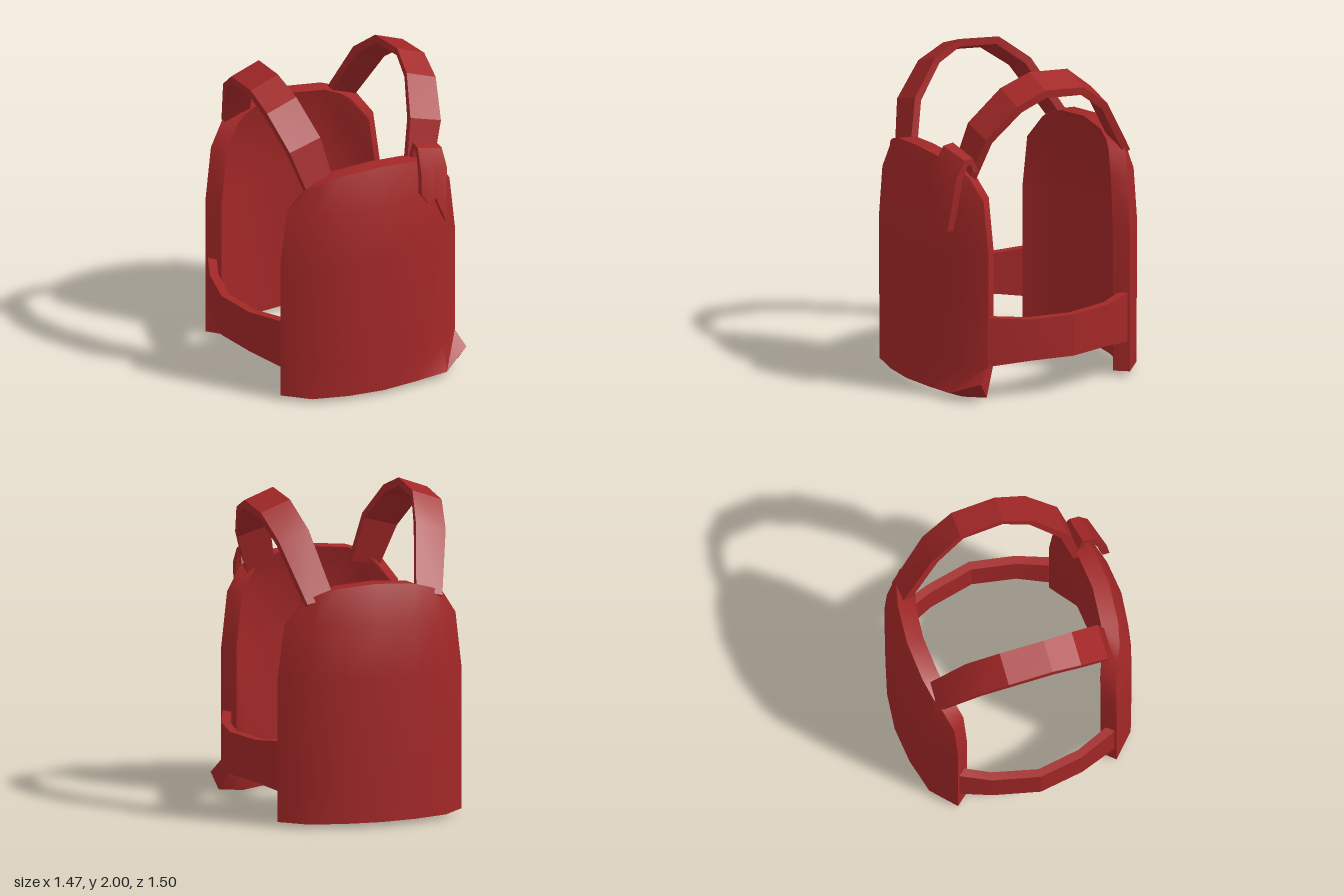
import * as THREE from 'three';
import { toCreasedNormals } from 'three/addons/utils/BufferGeometryUtils.js';

const red = new THREE.MeshStandardMaterial({ color: 0xa32727 });
red.name = 'red';

// Closed slab between two grids of points (rows x columns), wound outwards
function slab(outer, inner, crease = 0.75) {
  const pos = [];
  const quad = (a, b, c, d) => pos.push(a, b, c, a, c, d);
  const R = outer.length - 1, C = outer[0].length - 1;
  for (let r = 0; r < R; r++) {
    for (let c = 0; c < C; c++) {
      quad(outer[r][c], outer[r][c + 1], outer[r + 1][c + 1], outer[r + 1][c]);
      quad(inner[r][c], inner[r + 1][c], inner[r + 1][c + 1], inner[r][c + 1]);
    }
    quad(outer[r][0], outer[r + 1][0], inner[r + 1][0], inner[r][0]);
    quad(outer[r + 1][C], outer[r][C], inner[r][C], inner[r + 1][C]);
  }
  for (let c = 0; c < C; c++) {
    quad(outer[0][c + 1], outer[0][c], inner[0][c], inner[0][c + 1]);
    quad(outer[R][c], outer[R][c + 1], inner[R][c + 1], inner[R][c]);
  }
  // Flip the winding if the signed volume is negative
  let volume = 0;
  for (let i = 0; i < pos.length; i += 3) {
    volume += pos[i].dot(pos[i + 1].clone().cross(pos[i + 2]));
  }
  if (volume < 0) {
    for (let i = 0; i < pos.length; i += 3) [pos[i], pos[i + 1]] = [pos[i + 1], pos[i]];
  }
  return toCreasedNormals(new THREE.BufferGeometry().setFromPoints(pos), crease);
}

const V = (x, y, z) => new THREE.Vector3(x, y, z);

// Curved chest or back plate, domed at the top; one lower corner may be bent out
function plate(bentCorner) {
  const xs = [0, 0.23, 0.45, 0.6], zs = [0.75, 0.72, 0.655, 0.51];
  const inX = [0, 0.02, 0.05, 0.07], inZ = [0.105, 0.105, 0.095, 0.08];
  const rows = [[0.03, 1, -0.02], [0.22, 1, -0.015], [0.93, 1, 0], [1.27, 0.93, -0.02]];
  const top = [[0, 1.51, 0.65], [0.25, 1.49, 0.63], [0.38, 1.45, 0.6], [0.46, 1.41, 0.565]];
  const outer = [], inner = [];
  for (let r = 0; r < 5; r++) {
    outer.push([]);
    inner.push([]);
    for (let c = -3; c <= 3; c++) {
      const i = Math.abs(c), s = Math.sign(c);
      let [x, y, z] = top[i];
      if (r < 4) {
        const [h, k, dz] = rows[r];
        x = xs[i] * k;
        y = h;
        z = zs[i] + dz * (1 - i / 3) + (r === 3 && i === 3 ? 0.01 : 0);
      }
      outer[r].push(V(s * x, y, z));
      inner[r].push(V(s * (x - inX[i]), y, z - inZ[i]));
    }
  }
  if (bentCorner) {
    outer[0][5].set(0.45, 0.045, 0.7);
    inner[0][5].set(0.43, 0, 0.59);
    outer[0][6].set(0.64, 0.13, 0.59);
    inner[0][6].set(0.61, 0.03, 0.53);
  }
  return slab(outer, inner);
}

// Arched strap over one shoulder, its outer edge lower than its inner edge
function shoulderStrap(side) {
  // z, y, inner x, outer x, drop of the outer edge
  const stations = [
    [0.55, 1.42, 0.25, 0.43, 0.04], [0.48, 1.71, 0.31, 0.52, 0.06],
    [0.29, 1.92, 0.38, 0.58, 0.07], [0.1, 2, 0.41, 0.597, 0.07],
    [-0.18, 1.975, 0.4, 0.59, 0.07], [-0.38, 1.82, 0.35, 0.545, 0.06],
    [-0.61, 1.44, 0.27, 0.44, 0.04]];
  const outer = [], inner = [];
  stations.forEach(([z, y, xi, xo, drop], i) => {
    const a = stations[Math.max(i - 1, 0)], b = stations[Math.min(i + 1, 6)];
    const dz = b[0] - a[0], dy = b[1] - a[1], k = 0.05 / Math.hypot(dz, dy);
    const row = [V(side * xi, y, z), V(side * xo, y - drop, z)];
    outer.push(row);
    inner.push(row.map(p => p.clone().add(V(0, dz * k, -dy * k))));
  });
  return slab(outer, inner, 0.4);
}

// Waist strap joining the plates along one side
function sideStrap(side) {
  // outer x, z, lower y, upper y
  const stations = [
    [0.59, -0.5, 0.22, 0.535], [0.67, -0.31, 0.245, 0.51], [0.737, -0.02, 0.245, 0.51],
    [0.69, 0.26, 0.245, 0.51], [0.595, 0.5, 0.22, 0.53]];
  const outer = [], inner = [];
  for (const [x, z, lo, hi] of stations) {
    outer.push([V(side * x, lo, z), V(side * x, hi, z)]);
    inner.push([V(side * (x - 0.053), lo, z * 0.97), V(side * (x - 0.053), hi, z * 0.97)]);
  }
  return slab(outer, inner, 0.3);
}

// Loose strap end folded over the chest plate, with a torn lower edge
function tornFlap() {
  // left edge, right edge, thickness direction (y, z)
  const folds = [
    [V(0.27, 1.49, 0.54), V(0.47, 1.44, 0.5), 0, 0.04],
    [V(0.28, 1.59, 0.57), V(0.465, 1.53, 0.54), -0.04, 0.015],
    [V(0.28, 1.58, 0.64), V(0.465, 1.525, 0.6), -0.04, -0.02],
    [V(0.265, 1.43, 0.72), V(0.47, 1.42, 0.66), -0.015, -0.045]];
  const outer = [], inner = [];
  for (const [l, r, dy, dz] of folds) {
    const row = [0, 0.25, 0.45, 0.55, 1].map(t => l.clone().lerp(r, t));
    outer.push(row);
    inner.push(row.map(p => p.clone().add(V(0, dy, dz))));
  }
  const torn = [V(0.26, 1.3, 0.735), V(0.31, 1.23, 0.735), V(0.345, 1.24, 0.73),
    V(0.36, 1.26, 0.725), V(0.44, 1.08, 0.71)];
  outer.push(torn);
  inner.push(torn.map(p => p.clone().add(V(0, 0, -0.045))));
  return slab(outer, inner, 0.4);
}

export function createModel() {
  const group = new THREE.Group();
  group.name = 'bodyArmour';
  const add = (name, geometry) => {
    const mesh = new THREE.Mesh(geometry, red);
    mesh.name = name;
    group.add(mesh);
    return mesh;
  };
  add('chestPlate', plate(true));
  add('backPlate', plate(false)).rotation.y = Math.PI;
  for (const [label, side] of [['left', 1], ['right', -1]]) {
    add(label + 'ShoulderStrap', shoulderStrap(side));
    add(label + 'SideStrap', sideStrap(side));
  }
  add('tornStrapEnd', tornFlap());
  return group;
}
